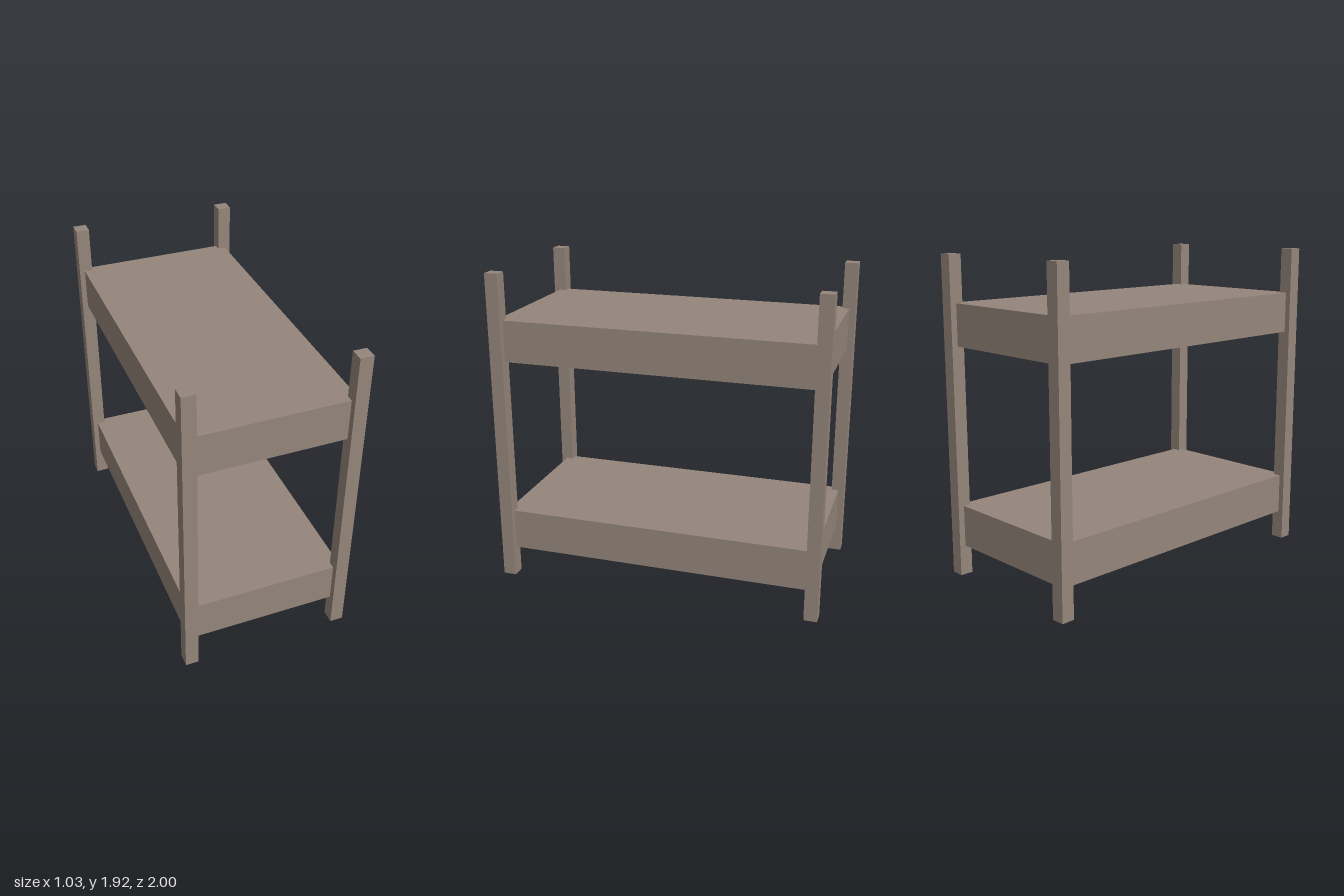
import * as THREE from 'three';

export function createModel() {
  const model = new THREE.Group();
  model.name = 'bunkBed';

  const wood = new THREE.MeshStandardMaterial({ color: 0x95867b });
  wood.name = 'taupe wood';

  const addBox = (name, size, position) => {
    const mesh = new THREE.Mesh(new THREE.BoxGeometry(...size), wood);
    mesh.name = name;
    mesh.position.set(...position);
    model.add(mesh);
  };

  // Four corner posts
  const height = 1.92, post = 0.08;
  for (const [side, x] of [['Left', 1], ['Right', -1]]) {
    for (const [end, z] of [['front', 1], ['back', -1]]) {
      addBox(`${end}${side}Post`, [post, height, post], [x * 0.474, height / 2, z * 0.96]);
    }
  }

  // Two solid bunks, their corners set into the posts
  for (const [name, bottom] of [['lowerBunk', 0.18], ['upperBunk', 1.391]]) {
    addBox(name, [0.962, 0.25, 1.925], [0, bottom + 0.125, 0]);
  }

  return model;
}
